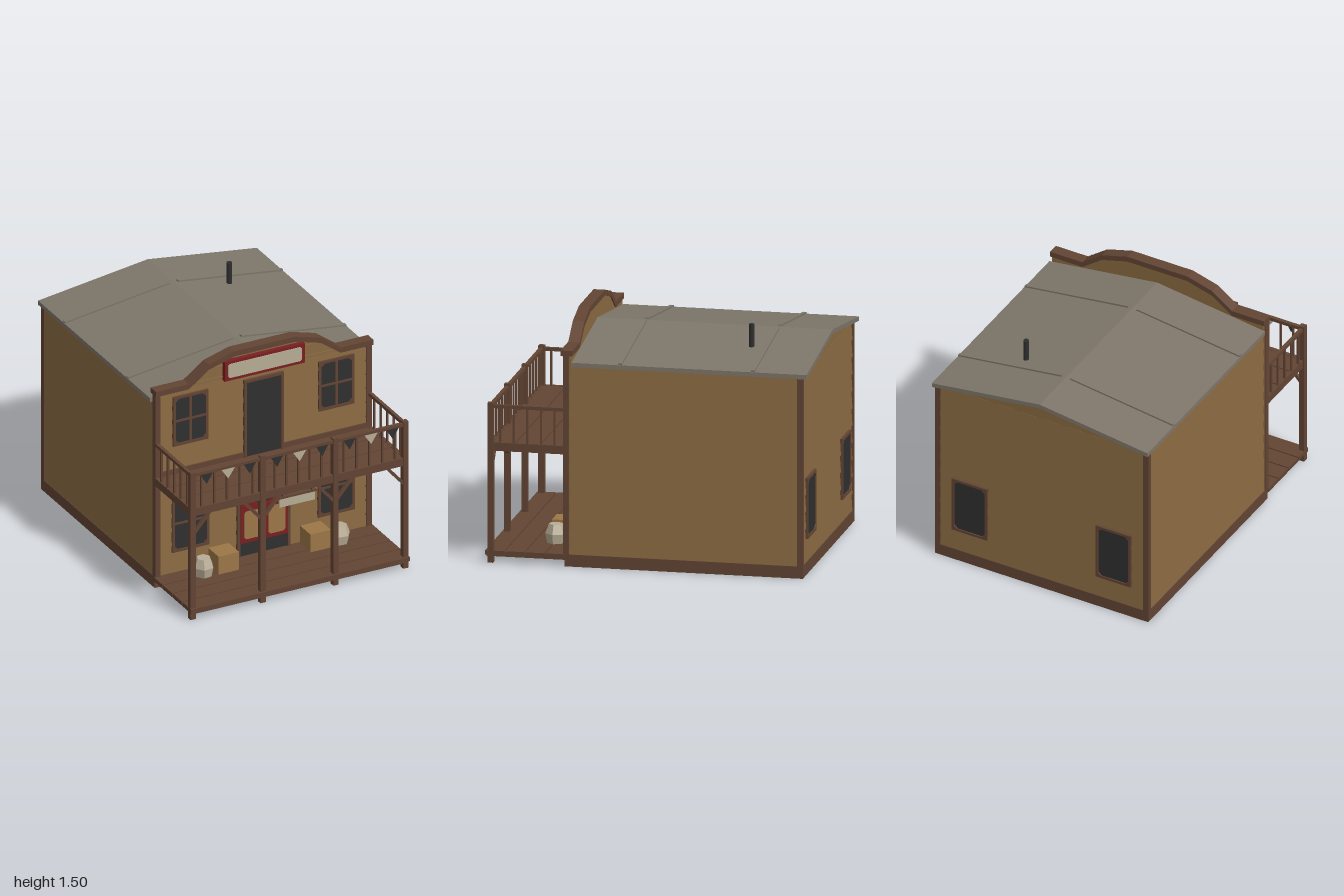
import * as THREE from 'three';

const mat = (name, color) => {
  const m = new THREE.MeshStandardMaterial({ color });
  m.name = name;
  return m;
};

export function createModel() {
  const model = new THREE.Group();
  model.name = 'frontierSaloon';
  const wall = mat('plank brown', 0x8a6a42);
  const trim = mat('dark timber', 0x624433);
  const roofGrey = mat('roof grey', 0x7e766a);
  const dark = mat('charcoal', 0x2f2f30);
  const red = mat('barn red', 0x7a1f21);
  const cream = mat('canvas cream', 0xb8ad95);
  const tan = mat('crate tan', 0x9c7747);
  const cloth = mat('bunting cream', 0xb8ad95);
  cloth.side = THREE.DoubleSide;
  const darkCloth = mat('bunting charcoal', 0x2f2f30);
  darkCloth.side = THREE.DoubleSide;

  const add = (name, geo, m, parent = model) => {
    const mesh = new THREE.Mesh(geo, m);
    mesh.name = name;
    parent.add(mesh);
    return mesh;
  };
  // box given by its minimum and maximum corners
  const box = (name, m, x0, x1, y0, y1, z0, z1, parent = model) => {
    const mesh = add(name, new THREE.BoxGeometry(x1 - x0, y1 - y0, z1 - z0), m, parent);
    mesh.position.set((x0 + x1) / 2, (y0 + y1) / 2, (z0 + z1) / 2);
    return mesh;
  };
  const outline = (pts) => new THREE.Shape(pts.map(([x, y]) => new THREE.Vector2(x, y)));
  const extrude = (shape, z0, z1) =>
    new THREE.ExtrudeGeometry(shape, { depth: z1 - z0, bevelEnabled: false }).translate(0, 0, z0);
  const chamfered = (w, h, c) => [
    [-w + c, -h], [w - c, -h], [w, -h + c], [w, h - c], [w - c, h], [-w + c, h], [-w, h - c], [-w, -h + c]];

  // main body with a gabled top
  add('body', extrude(outline([[-0.73, 0.02], [0.73, 0.02], [0.73, 1.255], [0, 1.355], [-0.73, 1.255]]), -0.962, 0.47), wall);

  // overlapping siding boards with a sawtooth profile
  const siding = (name, length, y0, y1, rows) => {
    const pts = [[0, y0]];
    const h = (y1 - y0) / rows;
    for (let i = 0; i < rows; i++) pts.push([0.008, y0 + i * h], [0.001, y0 + (i + 1) * h]);
    pts.push([0, y1]);
    // profile x becomes outward z, extrusion runs along x
    const geo = extrude(outline(pts), -length / 2, length / 2).rotateY(-Math.PI / 2);
    return add(name, geo, wall);
  };
  siding('frontSiding', 1.44, 0.07, 1.31, 13).position.z = 0.5;
  siding('backSiding', 1.44, 0.07, 1.25, 11).position.z = -0.962;
  siding('leftSiding', 1.43, 0.07, 1.25, 11).position.set(0.73, 0, -0.24);
  siding('rightSiding', 1.43, 0.07, 1.25, 11).position.set(-0.73, 0, -0.24);
  // the profile faces +z, so each wall is turned outward
  model.children.forEach((c) => {
    if (!c.name.endsWith('Siding')) return;
    c.geometry.computeBoundingBox();
    const facesFront = c.geometry.boundingBox.max.z > 0.004;
    const flip = facesFront ? 0 : Math.PI;
    const turn = { frontSiding: 0, backSiding: Math.PI, leftSiding: Math.PI / 2, rightSiding: -Math.PI / 2 }[c.name];
    c.rotation.y = turn + flip;
  });

  // false front with a stepped crown and its cap
  const crown = [[-0.745, 1.35], [-0.52, 1.35], [-0.385, 1.45], [-0.21, 1.5], [0.21, 1.5], [0.385, 1.45], [0.52, 1.35], [0.745, 1.35]];
  const crownLow = crown.map(([x, y]) => [x, y - 0.035]);
  add('falseFront', extrude(outline([[-0.735, 0.02], ...crownLow.map(([x, y]) => [x * 0.987, y + 0.01]), [0.735, 0.02]]), 0.465, 0.5), wall);
  add('crownCap', extrude(outline([...crown, ...crownLow.slice().reverse()]), 0.458, 0.53), trim);
  for (const y of [1.33, 1.405]) {
    const w = y < 1.4 ? 0.5 : 0.4;
    box('crownBoard', wall, -w, w, y, y + 0.006, 0.5, 0.506);
  }

  // foundation skirt and corner posts
  box('skirt', trim, -0.742, 0.742, 0, 0.075, -0.975, 0.505);
  for (const s of [-1, 1]) {
    box('frontCorner', trim, s * 0.725 - 0.018, s * 0.725 + 0.018, 0.05, 1.32, 0.48, 0.515);
    box('backCorner', trim, s * 0.724 - 0.018, s * 0.724 + 0.018, 0.05, 1.253, -0.975, -0.94);
  }

  // roof sheet, seams and stovepipe
  add('roof', extrude(outline([[-0.75, 1.25], [0, 1.352], [0.75, 1.25], [0.75, 1.278], [0, 1.38], [-0.75, 1.278]]), -1, 0.46), roofGrey);
  for (const z of [-0.665, 0.16]) {
    for (const s of [-1, 1]) {
      const seam = add('roofSeam', new THREE.BoxGeometry(0.725, 0.014, 0.024), roofGrey);
      seam.position.set(s * 0.388, 1.331, z);
      seam.rotation.z = -s * Math.atan2(0.102, 0.75);
    }
  }
  add('stovepipe', new THREE.CylinderGeometry(0.018, 0.018, 0.16, 8), dark).position.set(0.335, 1.395, -0.57);

  // window: frame with a chamfered opening, glass, optional bars
  const windowAt = (name, x, y, z, w, h, bars, back) => {
    const g = new THREE.Group();
    g.name = name;
    const frame = outline([[-w, -h], [w, -h], [w, h], [-w, h]]);
    frame.holes.push(new THREE.Path(chamfered(w - 0.017, h - 0.017, 0.022).map(([a, b]) => new THREE.Vector2(a, b))));
    add('windowFrame', extrude(frame, 0, 0.018), trim, g);
    box('glass', dark, -w + 0.01, w - 0.01, -h + 0.01, h - 0.01, 0.003, 0.011, g);
    if (bars) {
      box('uprightBar', trim, -0.008, 0.008, -h + 0.01, h - 0.01, 0.008, 0.016, g);
      box('crossBar', trim, -w + 0.01, w - 0.01, -0.007, 0.007, 0.008, 0.016, g);
    }
    g.position.set(x, y, z);
    if (back) g.rotation.y = Math.PI;
    model.add(g);
  };
  for (const s of [-1, 1]) {
    windowAt('upperWindow', s * 0.5, 1.108, 0.5, 0.121, 0.168, true, false);
    windowAt('lowerWindow', s * 0.5, 0.408, 0.5, 0.126, 0.192, true, false);
    windowAt('backWindow', s * 0.5, 0.41, -0.964, 0.123, 0.19, false, true);
  }

  // door frames and dark openings
  const doorway = (name, w, y0, y1, t) => {
    box(name + 'Opening', dark, -w + t, w - t, y0, y1 - t, 0.503, 0.511);
    for (const s of [-1, 1]) box(name + 'Jamb', trim, s * (w - t / 2) - t / 2, s * (w - t / 2) + t / 2, y0, y1, 0.5, 0.522);
    box(name + 'Lintel', trim, -w, w, y1 - t, y1, 0.5, 0.523);
  };
  doorway('balconyDoor', 0.135, 0.75, 1.275, 0.018);
  doorway('entrance', 0.182, 0.07, 0.598, 0.02);

  // swinging half doors
  for (const s of [-1, 1]) {
    const leaf = outline([[0.003, 0.17], [0.161, 0.17], [0.161, 0.48], [0.13, 0.465], [0.05, 0.42], [0.003, 0.41]].map(([x, y]) => [s * x, y]));
    add('swingDoor', extrude(leaf, 0.512, 0.528), red);
    const panel = outline(chamfered(0.058, 0.094, 0.014).map(([x, y]) => [x + s * 0.083, y + 0.291]));
    add('swingDoorPanel', extrude(panel, 0.528, 0.532), tan);
    box('wallBaseboard', trim, Math.min(s * 0.135, s * 0.71), Math.max(s * 0.135, s * 0.71), 0.75, 0.783, 0.5, 0.514);
  }

  // crown sign board
  box('crownSignFrame', red, -0.275, 0.275, 1.308, 1.44, 0.5, 0.531);
  add('crownSignFace', extrude(outline(chamfered(0.252, 0.047, 0.01).map(([x, y]) => [x, y + 1.375])), 0.531, 0.536), cream);

  // porch deck and balcony floor
  const planks = (name, x, y0, y1, z0, z1, n) => {
    const d = (z1 - z0) / n;
    box(name + 'Base', trim, -x + 0.01, x - 0.01, y0, y1 - 0.008, z0, z1 - 0.01);
    for (let i = 0; i < n; i++) box(name + 'Plank', trim, -x, x, y0 + 0.01, y1, z0 + i * d + 0.004, z0 + (i + 1) * d - 0.004);
  };
  planks('deck', 0.75, 0.04, 0.077, 0.5, 1.0, 4);
  planks('balcony', 0.735, 0.705, 0.75, 0.5, 0.97, 3);
  box('balconyCeiling', wall, -0.72, 0.72, 0.701, 0.706, 0.51, 0.955);
  box('balconyFrontBeam', trim, -0.742, 0.742, 0.7, 0.752, 0.95, 0.978);
  for (const s of [-1, 1]) box('balconySideBeam', trim, s * 0.73 - 0.012, s * 0.73 + 0.012, 0.7, 0.752, 0.5, 0.96);

  // posts from ground to rail, with diagonal braces
  const postX = [-0.73, -0.25, 0.25, 0.73];
  for (const x of postX) box('porchPost', trim, x - 0.018, x + 0.018, 0, 1.0, 0.947, 0.983);
  for (let i = 0; i < 3; i++) {
    for (const [x, s] of [[postX[i] + 0.014, 1], [postX[i + 1] - 0.014, -1]]) {
      const brace = outline([[0, 0.565], [0, 0.595], [0.095, 0.705], [0.121, 0.705]].map(([a, b]) => [x + s * a, b]).filter((_, k) => k < 3)
        .concat([[x + s * 0.121, 0.705]]));
      add('brace', extrude(brace, 0.955, 0.975), trim);
    }
  }

  // railings
  box('frontRail', trim, -0.74, 0.74, 0.967, 0.988, 0.953, 0.977);
  const baluster = (x, z) => box('baluster', trim, x - 0.006, x + 0.006, 0.75, 0.97, z - 0.006, z + 0.006);
  for (let i = -2; i <= 2; i++) {
    baluster(i * 0.08, 0.965);
    for (const s of [-1, 1]) {
      baluster(s * 0.488 + i * 0.088, 0.965);
      baluster(s * 0.73, 0.738 + i * 0.084);
    }
  }
  for (const s of [-1, 1]) box('sideRail', trim, s * 0.73 - 0.011, s * 0.73 + 0.011, 0.967, 0.988, 0.5, 0.965);

  // bunting
  for (const [c, gap] of [[-0.49, 0.148], [0, 0.155], [0.49, 0.148]]) {
    for (const k of [-1, 0, 1]) {
      const x = c + k * gap;
      const w = k ? 0.042 : 0.046;
      const y = k ? 0.905 : 0.907;
      add('pennant', new THREE.ShapeGeometry(outline([[x - w, 0.975], [x, y], [x + w, 0.975]])).translate(0, 0, 0.985), k ? darkCloth : cloth);
    }
  }

  // hanging sign
  box('hangingSign', cream, -0.122, 0.122, 0.603, 0.662, 0.938, 0.952);
  box('hangingSignBar', trim, -0.132, 0.132, 0.66, 0.674, 0.934, 0.956);
  for (const s of [-1, 1]) box('signHanger', dark, s * 0.1 - 0.003, s * 0.1 + 0.003, 0.67, 0.703, 0.942, 0.948);

  // crates and faceted sacks on the deck
  for (const s of [-1, 1]) {
    box('crate', tan, s * 0.315 - 0.07, s * 0.315 + 0.07, 0.075, 0.198, 0.525, 0.66);
    const profile = [[0, 0], [0.054, 0], [0.066, 0.06], [0.044, 0.118], [0, 0.118]].map(([r, y]) => new THREE.Vector2(r, y));
    const sack = add('sack', new THREE.LatheGeometry(profile, 6).toNonIndexed(), cream);
    sack.geometry.computeVertexNormals();
    sack.position.set(s * 0.467, 0.077, 0.618);
    sack.rotation.y = s * 0.4;
  }
  return model;
}
